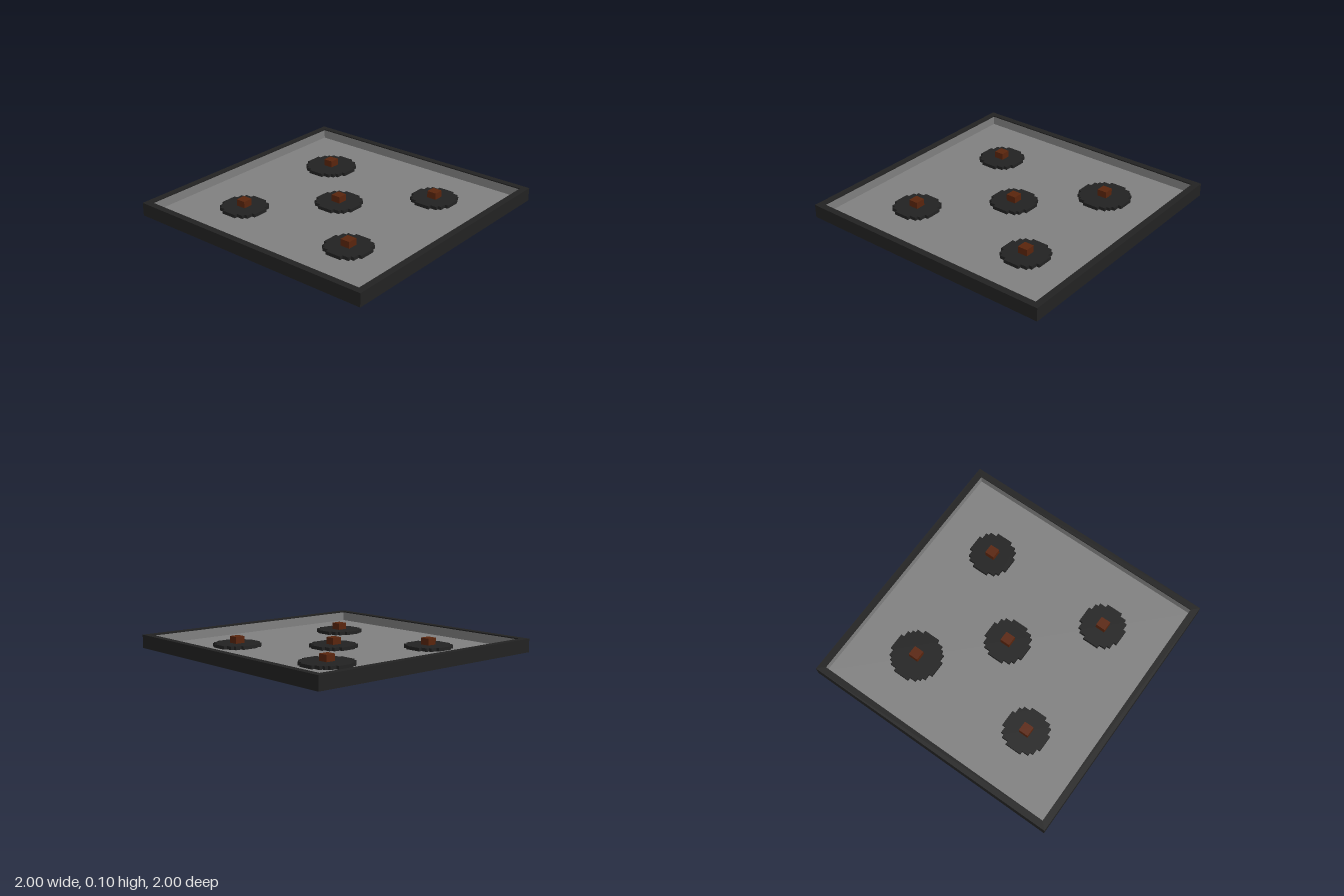
import * as THREE from 'three';

const U = 0.025; // grid pitch

function material(name, color) {
  const m = new THREE.MeshStandardMaterial({ color });
  m.name = name;
  return m;
}

// Square ring between two half-widths
function ringShape(outer, inner) {
  const square = (h) => [[-h, -h], [h, -h], [h, h], [-h, h]].map(([x, y]) => new THREE.Vector2(x, y));
  const shape = new THREE.Shape(square(outer));
  shape.holes.push(new THREE.Path(square(inner).reverse()));
  return shape;
}

// Stepped circle made of square cells, n cells from the middle to the rim
function steppedDiscShape(n) {
  const limit = (n + 0.5) ** 2;
  const half = (row) => (Math.floor(Math.sqrt(limit - row * row)) + 0.5) * U;
  const pts = [];
  const add = (x, y) => {
    const last = pts[pts.length - 1];
    if (!last || Math.abs(last.x - x) + Math.abs(last.y - y) > 1e-6) pts.push(new THREE.Vector2(x, y));
  };
  for (let r = -n; r <= n; r++) { // right side going up
    add(half(r), (r - 0.5) * U);
    add(half(r), (r + 0.5) * U);
  }
  for (let r = n; r >= -n; r--) { // left side going down
    add(-half(r), (r + 0.5) * U);
    add(-half(r), (r - 0.5) * U);
  }
  return new THREE.Shape(pts);
}

// Extrude a plan shape upward from y = 0
function slab(shape, height) {
  const g = new THREE.ExtrudeGeometry(shape, { depth: height, bevelEnabled: false });
  g.rotateX(-Math.PI / 2);
  return g;
}

export function createModel() {
  const group = new THREE.Group();
  const black = material('black', 0x222222);
  const grey = material('grey', 0x808080);
  const rust = material('rust', 0x5a250d);

  function add(name, geometry, mat, x, y, z, parent = group) {
    const mesh = new THREE.Mesh(geometry, mat);
    mesh.name = name;
    mesh.position.set(x, y, z);
    parent.add(mesh);
    return mesh;
  }

  // Tray: black outer wall and rim, grey lining and floor
  const capH = 0.008;
  add('outerWall', slab(ringShape(1, 1 - U), 4 * U - capH), black, 0, 0, 0);
  add('rim', slab(ringShape(1, 1 - 2 * U), capH), black, 0, 4 * U - capH, 0);
  add('innerLining', slab(ringShape(1 - U, 1 - 2 * U), 3 * U - capH), grey, 0, U, 0);
  add('floor', new THREE.BoxGeometry(2 - 2 * U, U - 0.002, 2 - 2 * U), grey, 0, U / 2 + 0.001, 0);

  // Round patch under the floor
  add('undersidePatch', slab(steppedDiscShape(4), 0.004), black, 0, 0, 0);

  // Burners: stepped disc with a small block in the middle [x, z, radius in cells]
  const burners = [
    [-0.4875, -0.4875, 6],
    [0.4875, -0.4875, 7],
    [0.0125, -0.0125, 6],
    [-0.4875, 0.4875, 6],
    [0.5125, 0.4875, 6],
  ];
  burners.forEach(([x, z, n], i) => {
    const burner = new THREE.Group();
    burner.name = `burner${i + 1}`;
    burner.position.set(x, U, z);
    add('disc', slab(steppedDiscShape(n), U), black, 0, 0, 0, burner);
    add('centreBlock', new THREE.BoxGeometry(3 * U, 2 * U, 3 * U), rust, 0, 2 * U, 0, burner);
    group.add(burner);
  });

  return group;
}
